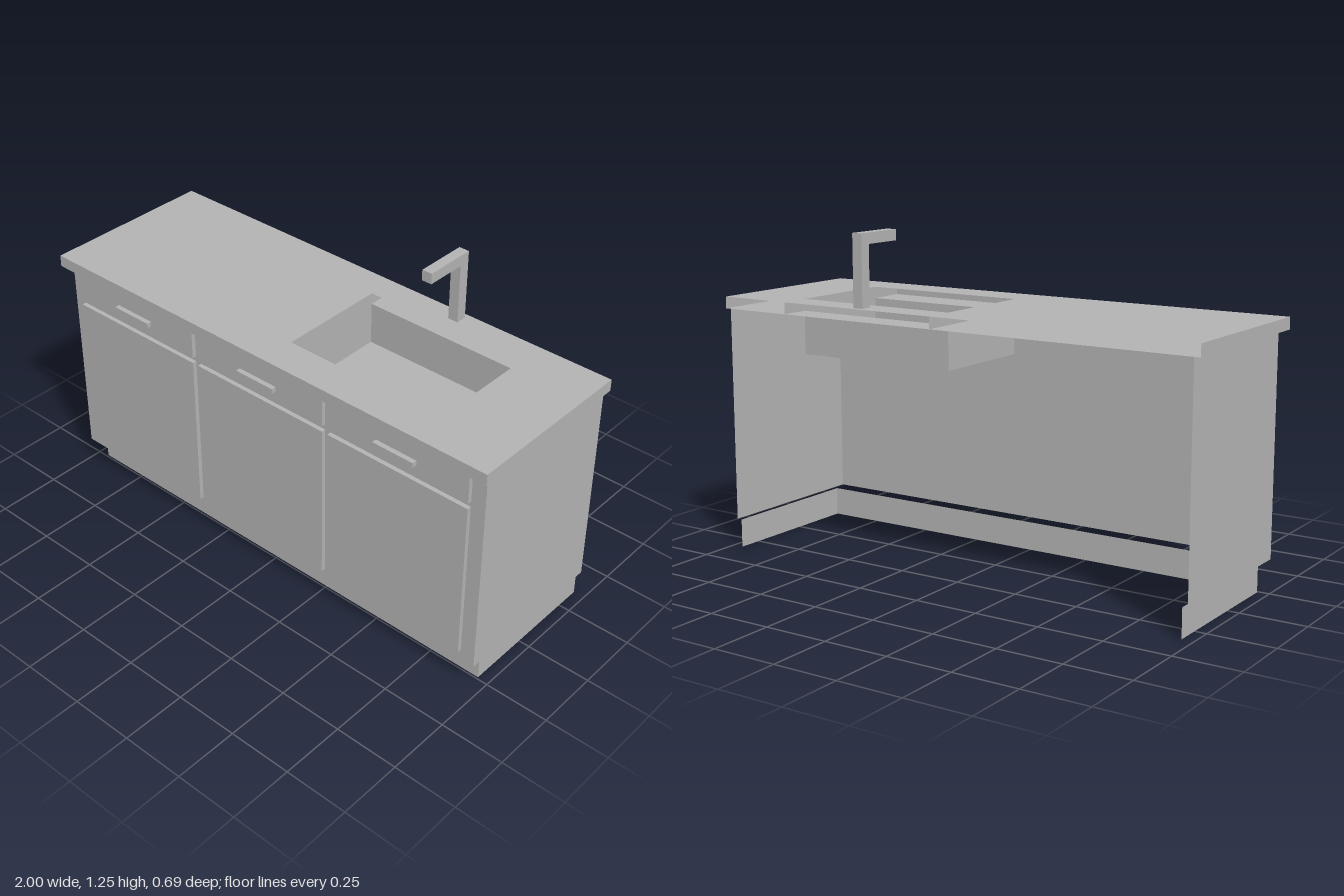
import * as THREE from 'three';

export function createModel() {
  const grey = new THREE.MeshStandardMaterial({ color: 0xb2b2b2, side: THREE.DoubleSide });
  grey.name = 'plain grey';
  const model = new THREE.Group();
  model.name = 'kitchenSinkUnit';

  const group = (name) => {
    const g = new THREE.Group();
    g.name = name;
    model.add(g);
    return g;
  };
  const add = (parent, name, geometry) => {
    const mesh = new THREE.Mesh(geometry, grey);
    mesh.name = name;
    parent.add(mesh);
    return mesh;
  };
  // Solid block from its limits on each axis
  const block = (parent, name, [x0, x1], [y0, y1], [z0, z1]) =>
    add(parent, name, new THREE.BoxGeometry(x1 - x0, y1 - y0, z1 - z0))
      .position.set((x0 + x1) / 2, (y0 + y1) / 2, (z0 + z1) / 2);
  // Thin sheet facing along z
  const frontSheet = (parent, name, [x0, x1], [y0, y1], z) =>
    add(parent, name, new THREE.PlaneGeometry(x1 - x0, y1 - y0))
      .position.set((x0 + x1) / 2, (y0 + y1) / 2, z);
  // Thin sheet facing along x, outwards by sign
  const sideSheet = (parent, name, x, [y0, y1], [z0, z1], sign) => {
    const g = new THREE.PlaneGeometry(z1 - z0, y1 - y0).rotateY(sign * Math.PI / 2);
    add(parent, name, g).position.set(x, (y0 + y1) / 2, (z0 + z1) / 2);
  };

  const back = -0.345, front = 0.345;
  const topY = 0.98, underY = 0.935, baseY = 0.11;
  const sinkX = [0.048, 0.708], sinkZ = [-0.23, 0.202], sinkFloor = 0.77;

  // Carcass and plinth: front and two sides, open at back and below
  const shell = (name, halfWidth, y, z) => {
    const g = group(name);
    frontSheet(g, name + 'Front', [-halfWidth, halfWidth], y, z);
    for (const s of [-1, 1]) sideSheet(g, name + 'Side', s * halfWidth, y, [back, z], s);
  };
  shell('carcass', 0.976, [baseY, underY], 0.305);
  shell('plinth', 0.956, [0, baseY], 0.242);

  // Worktop: upper and lower sheets with the sink opening, open at the back
  const worktop = group('worktop');
  const sheet = new THREE.Shape();
  sheet.moveTo(-1, -front).lineTo(1, -front).lineTo(1, -back).lineTo(-1, -back).closePath();
  const hole = new THREE.Path();
  hole.moveTo(sinkX[0], -sinkZ[1]).lineTo(sinkX[0], -sinkZ[0])
    .lineTo(sinkX[1], -sinkZ[0]).lineTo(sinkX[1], -sinkZ[1]).closePath();
  sheet.holes.push(hole);
  const top = new THREE.ShapeGeometry(sheet).rotateX(-Math.PI / 2);
  add(worktop, 'worktopSurface', top).position.y = topY;
  // Mirrored in height, with corner order reversed so it faces down
  const under = new THREE.ShapeGeometry(sheet).rotateX(-Math.PI / 2);
  under.index.array.reverse();
  under.computeVertexNormals();
  add(worktop, 'worktopUnderside', under).position.y = underY;
  frontSheet(worktop, 'worktopFrontEdge', [-1, 1], [underY, topY], front);
  for (const s of [-1, 1]) sideSheet(worktop, 'worktopEnd', s, [underY, topY], [back, front], s);
  sinkX.forEach((x, i) =>
    sideSheet(worktop, 'worktopDivider', x, [underY, topY], [back, front], i ? -1 : 1));

  // Sink basin, hung below the worktop
  const basin = group('sinkBasin');
  for (const z of sinkZ) frontSheet(basin, 'basinWall', sinkX, [sinkFloor, underY], z);
  sinkX.forEach((x, i) => sideSheet(basin, 'basinEnd', x, [sinkFloor, underY], sinkZ, i ? -1 : 1));
  const floor = new THREE.PlaneGeometry(sinkX[1] - sinkX[0], sinkZ[1] - sinkZ[0]).rotateX(-Math.PI / 2);
  add(basin, 'basinFloor', floor)
    .position.set((sinkX[0] + sinkX[1]) / 2, sinkFloor, (sinkZ[0] + sinkZ[1]) / 2);

  // Three bays: door, drawer front and bar handle
  for (const cx of [-0.625, -0.002, 0.62]) {
    const bay = group('cabinetBay');
    const width = [cx - 0.299, cx + 0.299];
    block(bay, 'door', width, [0.155, 0.785], [0.305, 0.322]);
    block(bay, 'drawerFront', width, [0.807, 0.915], [0.305, 0.322]);
    block(bay, 'handle', [cx - 0.086, cx + 0.086], [0.852, 0.871], [0.322, 0.341]);
  }

  // Square tap: upright and spout
  const tap = group('tap');
  block(tap, 'tapUpright', [0.357, 0.398], [topY, 1.21], [-0.325, -0.282]);
  block(tap, 'tapSpout', [0.357, 0.398], [1.21, 1.251], [-0.325, -0.12]);

  return model;
}
